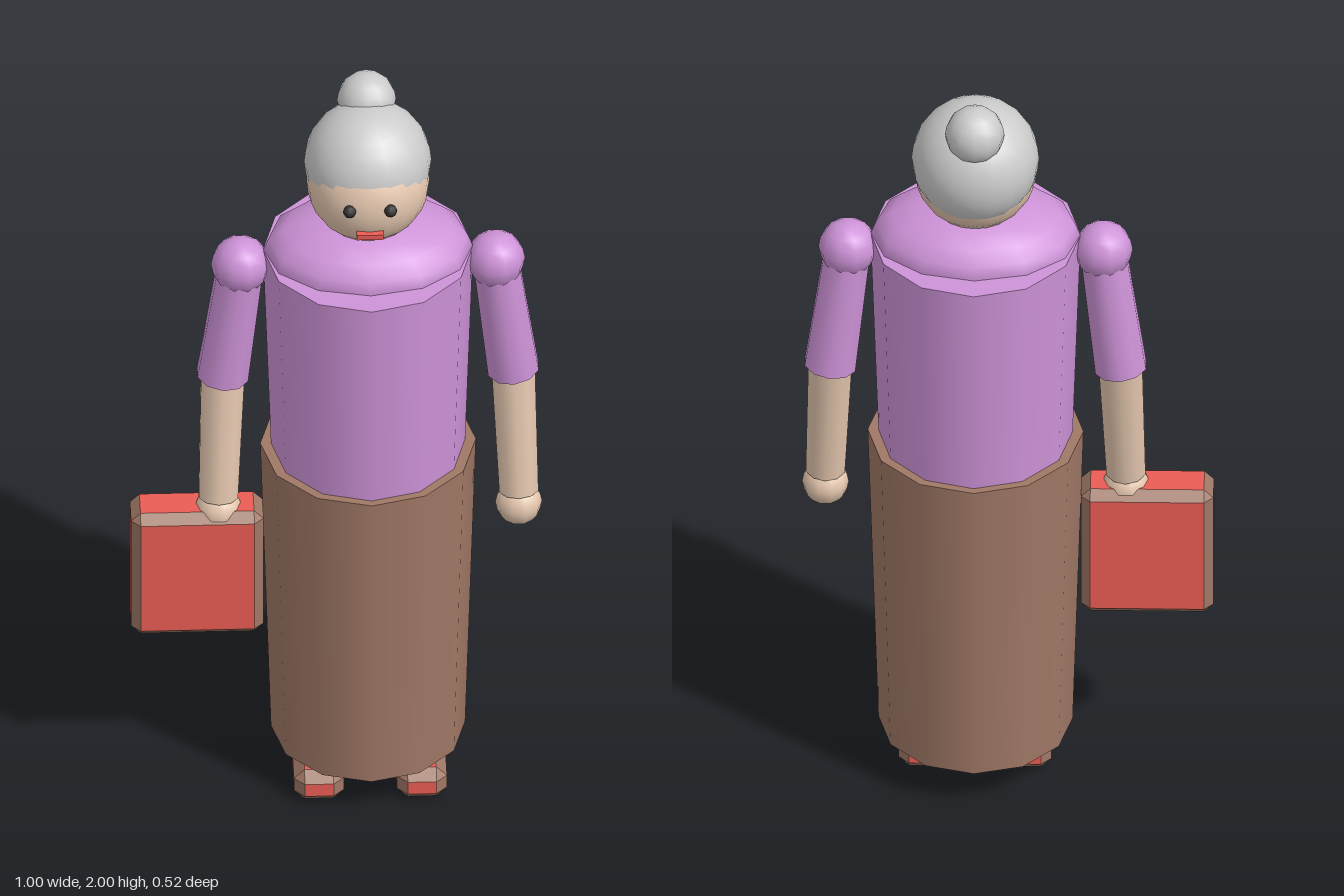
import * as THREE from 'three';

const COLORS = {
  shirt: 0xce93d8, skirt: 0xa07866, skin: 0xe6c8b0,
  hair: 0xbdbdbd, red: 0xea5c54, dark: 0x333333,
};
const MATS = {};
for (const [key, color] of Object.entries(COLORS)) MATS[key] = new THREE.MeshStandardMaterial({ color });

function part(name, geometry, mat, x = 0, y = 0, z = 0) {
  const mesh = new THREE.Mesh(geometry, MATS[mat]);
  mesh.name = name;
  mesh.position.set(x, y, z);
  return mesh;
}

function ball(name, r, mat, pos, w = 12, h = 8) {
  return part(name, new THREE.SphereGeometry(r, w, h), mat, ...pos);
}

// Tapered limb running from point a down to point b
function limb(name, a, b, rTop, rBottom, mat) {
  const from = new THREE.Vector3(...a), to = new THREE.Vector3(...b);
  const axis = from.clone().sub(to);
  const mesh = part(name, new THREE.CylinderGeometry(rTop, rBottom, axis.length(), 10), mat);
  mesh.position.copy(from).add(to).multiplyScalar(0.5);
  mesh.quaternion.setFromUnitVectors(new THREE.Vector3(0, 1, 0), axis.normalize());
  return mesh;
}

// Convex polygons around the origin, turned to face outward
function polygons(list) {
  const out = [];
  for (const poly of list) {
    const p = poly.map((c) => new THREE.Vector3(...c));
    const n = p[1].clone().sub(p[0]).cross(p[2].clone().sub(p[0]));
    if (n.dot(p[0]) < 0) p.reverse();
    for (let i = 1; i < p.length - 1; i++) {
      for (const v of [p[0], p[i], p[i + 1]]) out.push(v.x, v.y, v.z);
    }
  }
  const g = new THREE.BufferGeometry();
  g.setAttribute('position', new THREE.Float32BufferAttribute(out, 3));
  g.computeVertexNormals();
  return g;
}

// Box with red panels and brown chamfered edges
function chamferBox(name, size, bevel, pos) {
  const half = size.map((s) => s / 2);
  // corner on the face of axis a, for the given three signs
  const corner = (a, s) => s.map((v, i) => v * (i === a ? half[i] : half[i] - bevel));
  const signs = (a, sa, b, sb, c, sc) => {
    const s = [0, 0, 0];
    s[a] = sa; s[b] = sb; s[c] = sc;
    return s;
  };
  const panels = [], edges = [];
  for (let a = 0; a < 3; a++) {
    const b = (a + 1) % 3, c = (a + 2) % 3;
    for (const s of [-1, 1]) {
      panels.push([[-1, -1], [1, -1], [1, 1], [-1, 1]].map(([u, v]) => corner(a, signs(a, s, b, u, c, v))));
      for (const t of [-1, 1]) {
        const p = signs(a, s, b, t, c, -1), q = signs(a, s, b, t, c, 1);
        edges.push([corner(a, p), corner(a, q), corner(b, q), corner(b, p)]);
      }
    }
  }
  for (const x of [-1, 1]) for (const y of [-1, 1]) for (const z of [-1, 1]) {
    edges.push([0, 1, 2].map((a) => corner(a, [x, y, z])));
  }
  const group = new THREE.Group();
  group.name = name;
  group.position.set(...pos);
  group.add(part(name + 'Panels', polygons(panels), 'red'), part(name + 'Edges', polygons(edges), 'skirt'));
  return group;
}

export function createModel() {
  const model = new THREE.Group();
  model.name = 'woman';

  // Body, centred on its own axis
  const body = new THREE.Group();
  body.name = 'body';
  body.position.x = 0.075;
  model.add(body);

  body.add(part('skirt', new THREE.CylinderGeometry(0.262, 0.236, 0.86, 12), 'skirt', 0, 0.535, 0));
  const torso = part('torso', new THREE.CylinderGeometry(0.262, 0.242, 0.59, 12), 'shirt', 0, 1.26, 0);
  torso.scale.x = 0.975;
  const shoulders = ball('shoulders', 1, 'shirt', [0, 1.553, 0], 12, 10);
  shoulders.scale.set(0.255, 0.108, 0.197);
  body.add(torso, shoulders);

  // Head, hair and face
  body.add(
    ball('head', 0.15, 'skin', [0, 1.757, -0.005], 20, 14),
    ball('hair', 0.155, 'hair', [0, 1.8, -0.025], 20, 14),
    ball('hairBun', 0.072, 'hair', [0, 1.928, -0.103], 12, 10),
    part('mouth', new THREE.BoxGeometry(0.065, 0.014, 0.03), 'red', 0, 1.695, 0.132),
  );

  for (const side of [-1, 1]) {
    const label = side > 0 ? 'left' : 'right';
    body.add(ball(label + 'Eye', 0.016, 'dark', [side * 0.05, 1.77, 0.14], 8, 6));

    // Arm
    const shoulder = [side * 0.31, 1.513, 0];
    const elbow = [side * 0.353, 1.168, -0.013];
    const wrist = [side * 0.365, 0.83, 0.026];
    body.add(
      ball(label + 'ShoulderJoint', 0.072, 'shirt', shoulder, 10, 8),
      limb(label + 'Sleeve', shoulder, elbow, 0.058, 0.065, 'shirt'),
      limb(label + 'Forearm', [side * 0.352, 1.2, -0.016], wrist, 0.056, 0.05, 'skin'),
      ball(label + 'Hand', 0.057, 'skin', [side * 0.365, 0.79, 0.025], 10, 8),
    );

    // Shoe
    body.add(chamferBox(label + 'Shoe', [0.122, 0.088, 0.27], 0.026, [side * 0.125, 0.044, 0.05]));
  }

  // Handbag in the right hand
  model.add(chamferBox('handbag', [0.322, 0.365, 0.124], 0.023, [-0.342, 0.623, 0.022]));

  return model;
}
